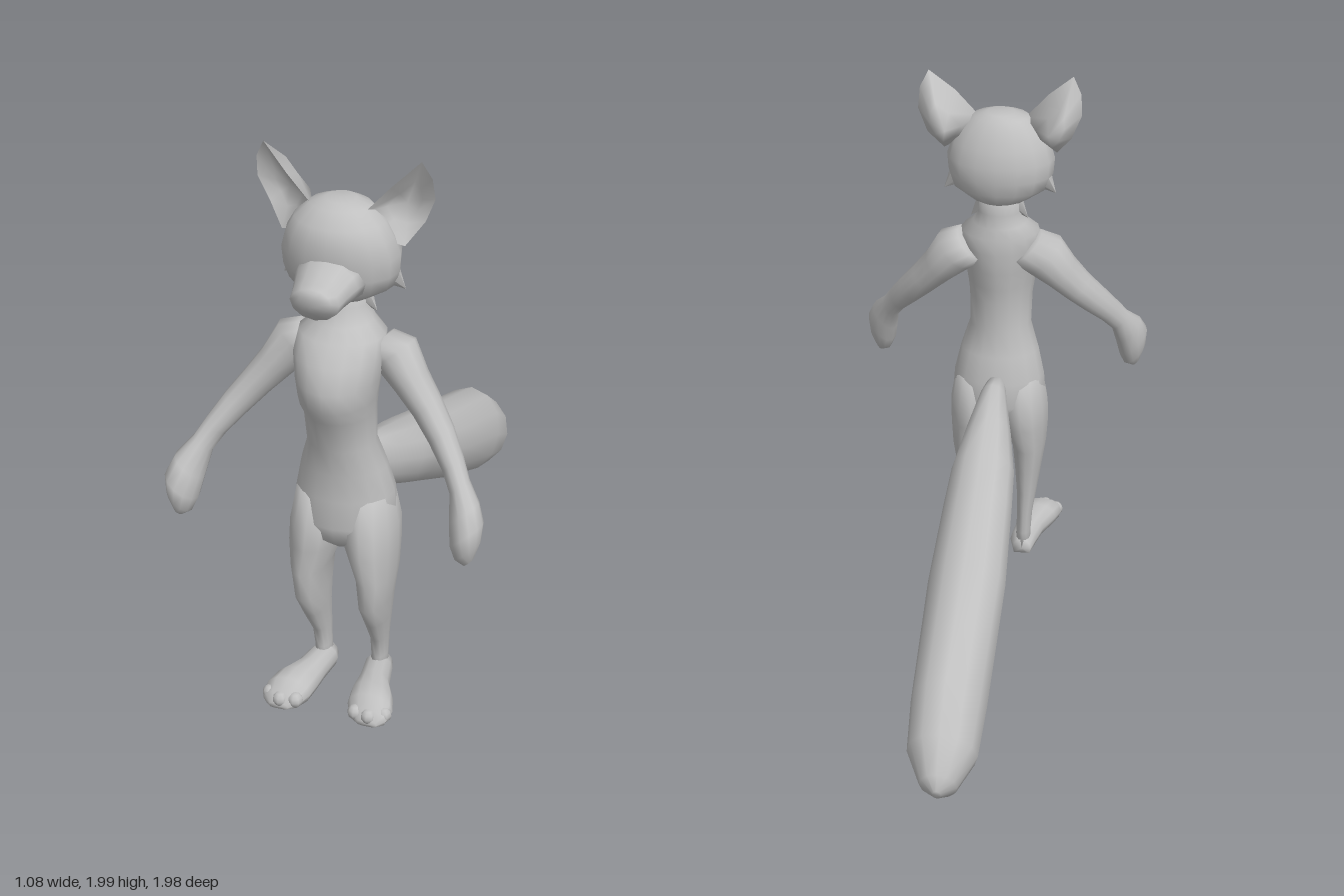
import * as THREE from 'three';

const fur = new THREE.MeshStandardMaterial({ color: 0xc0c0c0 });
fur.name = 'grey fur';

const X = new THREE.Vector3(1, 0, 0);
const Y = new THREE.Vector3(0, 1, 0);
const Z = new THREE.Vector3(0, 0, 1);

function build(name, positions, index) {
  const g = new THREE.BufferGeometry();
  g.setAttribute('position', new THREE.Float32BufferAttribute(positions, 3));
  g.setIndex(index);
  g.computeVertexNormals();
  const mesh = new THREE.Mesh(g, fur);
  mesh.name = name;
  return mesh;
}

// Closed skin over elliptical rings; each row is [x, y, z, radius along U, radius along V]
function loft(name, rows, U, V, sides = 12, floor = -1) {
  const pos = [], idx = [];
  const first = new THREE.Vector3(...rows[0].slice(0, 3));
  const last = new THREE.Vector3(...rows[rows.length - 1].slice(0, 3));
  const flip = U.clone().cross(V).dot(last.clone().sub(first)) < 0;
  const tri = (a, b, c) => (flip ? idx.push(a, c, b) : idx.push(a, b, c));
  const put = (p) => pos.push(p.x, Math.max(p.y, floor), p.z);
  for (const [x, y, z, a, b] of rows) {
    for (let j = 0; j < sides; j++) {
      const t = (j / sides) * Math.PI * 2;
      put(new THREE.Vector3(x, y, z).addScaledVector(U, a * Math.cos(t)).addScaledVector(V, b * Math.sin(t)));
    }
  }
  const end = (rows.length - 1) * sides, c0 = rows.length * sides;
  put(first);
  put(last);
  for (let j = 0; j < sides; j++) {
    const k = (j + 1) % sides;
    for (let r = 0; r < end; r += sides) {
      tri(r + j, r + k, r + sides + j);
      tri(r + k, r + sides + k, r + sides + j);
    }
    tri(c0, k, j);
    tri(c0 + 1, end + j, end + k);
  }
  return build(name, pos, idx);
}

// Horizontal rings from [y, x max, x min, z front, z back]
const upright = (rows, s = 1) => rows.map(([y, x1, x0, zf, zb]) =>
  [s * (x1 + x0) / 2, y, (zf + zb) / 2, (x1 - x0) / 2, (zf - zb) / 2]);
const centred = (rows) => upright(rows.map(([y, w, zf, zb]) => [y, w, -w, zf, zb]));
const mirror = (rows, s) => rows.map(([x, ...rest]) => [s * x, ...rest]);

// Cupped surface from a rim to a centre point, bulging halfway
function shell(name, rim, centre, bulge, flip) {
  const n = rim.length, pos = [], idx = [];
  rim.forEach((p) => pos.push(...p));
  rim.forEach((p) => pos.push(...p.map((v, i) => (v + centre[i]) / 2 + bulge[i])));
  pos.push(...centre);
  const tri = (a, b, c) => (flip ? idx.push(a, c, b) : idx.push(a, b, c));
  for (let i = 0; i < n; i++) {
    const k = (i + 1) % n;
    tri(i, k, n + i);
    tri(k, n + k, n + i);
    tri(n + i, n + k, 2 * n);
  }
  return build(name, pos, idx);
}

// Small pointed tuft of fur
function tuft(name, base, tip, radius) {
  const a = new THREE.Vector3(...base), d = new THREE.Vector3(...tip).sub(a);
  const mesh = new THREE.Mesh(new THREE.ConeGeometry(radius, d.length(), 6), fur);
  mesh.position.copy(a).addScaledVector(d, 0.5);
  mesh.quaternion.setFromUnitVectors(Y, d.normalize());
  mesh.name = name;
  return mesh;
}

export function createModel() {
  const model = new THREE.Group();
  model.name = 'standingFox';

  // Neck, chest, waist and hips
  model.add(loft('torso', centred([
    [1.56, 0.075, 0.72, 0.59], [1.48, 0.08, 0.735, 0.59], [1.43, 0.1, 0.78, 0.58],
    [1.39, 0.145, 0.82, 0.57], [1.33, 0.15, 0.88, 0.565], [1.25, 0.138, 0.905, 0.575],
    [1.18, 0.127, 0.905, 0.585], [1.12, 0.118, 0.86, 0.595], [1.0, 0.115, 0.83, 0.6],
    [0.9, 0.147, 0.815, 0.58], [0.8, 0.17, 0.815, 0.552], [0.7, 0.178, 0.825, 0.55],
    [0.64, 0.15, 0.81, 0.57], [0.595, 0.05, 0.76, 0.62],
  ]), X, Z, 16));

  // Head and muzzle
  model.add(loft('head', centred([
    [1.85, 0.05, 0.74, 0.64], [1.835, 0.1, 0.775, 0.615], [1.79, 0.15, 0.82, 0.585],
    [1.74, 0.178, 0.84, 0.565], [1.68, 0.197, 0.84, 0.547], [1.62, 0.192, 0.835, 0.55],
    [1.57, 0.175, 0.82, 0.56], [1.53, 0.11, 0.79, 0.58], [1.51, 0.05, 0.72, 0.61],
  ]), X, Z, 16));
  model.add(loft('muzzle', [
    [0, 1.62, 0.76, 0.13, 0.09], [0, 1.617, 0.84, 0.105, 0.077], [0, 1.61, 0.9, 0.09, 0.066],
    [0, 1.605, 0.945, 0.082, 0.062], [0, 1.622, 0.975, 0.065, 0.042], [0, 1.632, 0.987, 0.035, 0.025],
  ], X, Y, 12));

  // Tail sloping back to the ground
  model.add(loft('tail', [
    [0, 0.79, 0.58, 0.035, 0.05], [0, 0.775, 0.5, 0.05, 0.088], [0, 0.71, 0.35, 0.085, 0.102],
    [0, 0.64, 0.2, 0.115, 0.113], [0, 0.575, 0.06, 0.124, 0.122], [0, 0.435, -0.235, 0.138, 0.14],
    [0, 0.235, -0.69, 0.132, 0.165], [0, 0.145, -0.85, 0.122, 0.135],
    [0, 0.085, -0.95, 0.065, 0.08], [0, 0.075, -0.985, 0.015, 0.025],
  ], X, new THREE.Vector3(0, 0.91, -0.42), 12, 0));

  for (const s of [1, -1]) {
    const side = s > 0 ? 'left' : 'right';

    // Arm with a mitten-like hand
    model.add(loft(side + 'Arm', mirror([
      [0.1, 1.34, 0.66, 0.075, 0.08], [0.165, 1.31, 0.657, 0.085, 0.09], [0.23, 1.23, 0.685, 0.065, 0.08],
      [0.29, 1.16, 0.71, 0.056, 0.07], [0.35, 1.09, 0.75, 0.05, 0.062], [0.405, 1.02, 0.8, 0.042, 0.055],
      [0.44, 0.965, 0.84, 0.04, 0.05], [0.47, 0.9, 0.885, 0.062, 0.065], [0.488, 0.84, 0.915, 0.07, 0.075],
      [0.495, 0.785, 0.925, 0.054, 0.058], [0.5, 0.745, 0.93, 0.02, 0.025],
    ], s), new THREE.Vector3(s * 0.75, 0.65, 0), new THREE.Vector3(0, 0.2, 0.98)));

    // Leg
    model.add(loft(side + 'Leg', upright([
      [0.8, 0.165, 0.01, 0.79, 0.58], [0.68, 0.185, 0, 0.832, 0.547], [0.6, 0.187, 0.01, 0.84, 0.555],
      [0.5, 0.18, 0.05, 0.84, 0.57], [0.4, 0.165, 0.06, 0.835, 0.585], [0.3, 0.15, 0.07, 0.775, 0.595],
      [0.2, 0.135, 0.075, 0.712, 0.6], [0.12, 0.13, 0.075, 0.695, 0.605], [0.05, 0.13, 0.07, 0.7, 0.61],
    ], s), X, Z));

    // Flat-soled foot turned slightly outward, with toes
    model.add(loft(side + 'Foot', mirror([
      [0.1, 0.05, 0.61, 0.035, 0.04], [0.1, 0.06, 0.66, 0.05, 0.05], [0.115, 0.06, 0.75, 0.055, 0.052],
      [0.135, 0.065, 0.83, 0.075, 0.057], [0.148, 0.06, 0.89, 0.08, 0.055],
      [0.155, 0.05, 0.935, 0.065, 0.035], [0.158, 0.04, 0.955, 0.035, 0.015],
    ], s), X, Y, 12, 0.03));
    for (const [x, z] of [[0.108, 0.925], [0.158, 0.935], [0.203, 0.91]]) {
      const toe = new THREE.Mesh(new THREE.SphereGeometry(0.028, 8, 6), fur);
      toe.position.set(s * x, 0.058, z);
      toe.name = side + 'Toe';
      model.add(toe);
    }

    // Large cupped ear
    const at = ([x, y, z]) => [s * x, y, z];
    const rim = [[0.26, 2, 0.68], [0.17, 1.915, 0.715], [0.085, 1.82, 0.72], [0.13, 1.74, 0.72],
      [0.205, 1.705, 0.68], [0.26, 1.78, 0.64], [0.295, 1.865, 0.65], [0.29, 1.94, 0.665]].map(at);
    model.add(shell(side + 'EarInside', rim, at([0.195, 1.83, 0.625]), [0, 0, -0.01], s < 0));
    model.add(shell(side + 'EarBack', rim, at([0.185, 1.82, 0.55]), [0, 0, -0.03], s > 0));

    // Cheek and neck fur
    model.add(tuft(side + 'CheekTuft', at([0.13, 1.63, 0.68]), at([0.205, 1.55, 0.67]), 0.06));
    model.add(tuft(side + 'NeckTuft', at([0.05, 1.52, 0.66]), at([0.105, 1.45, 0.66]), 0.04));
  }
  return model;
}
